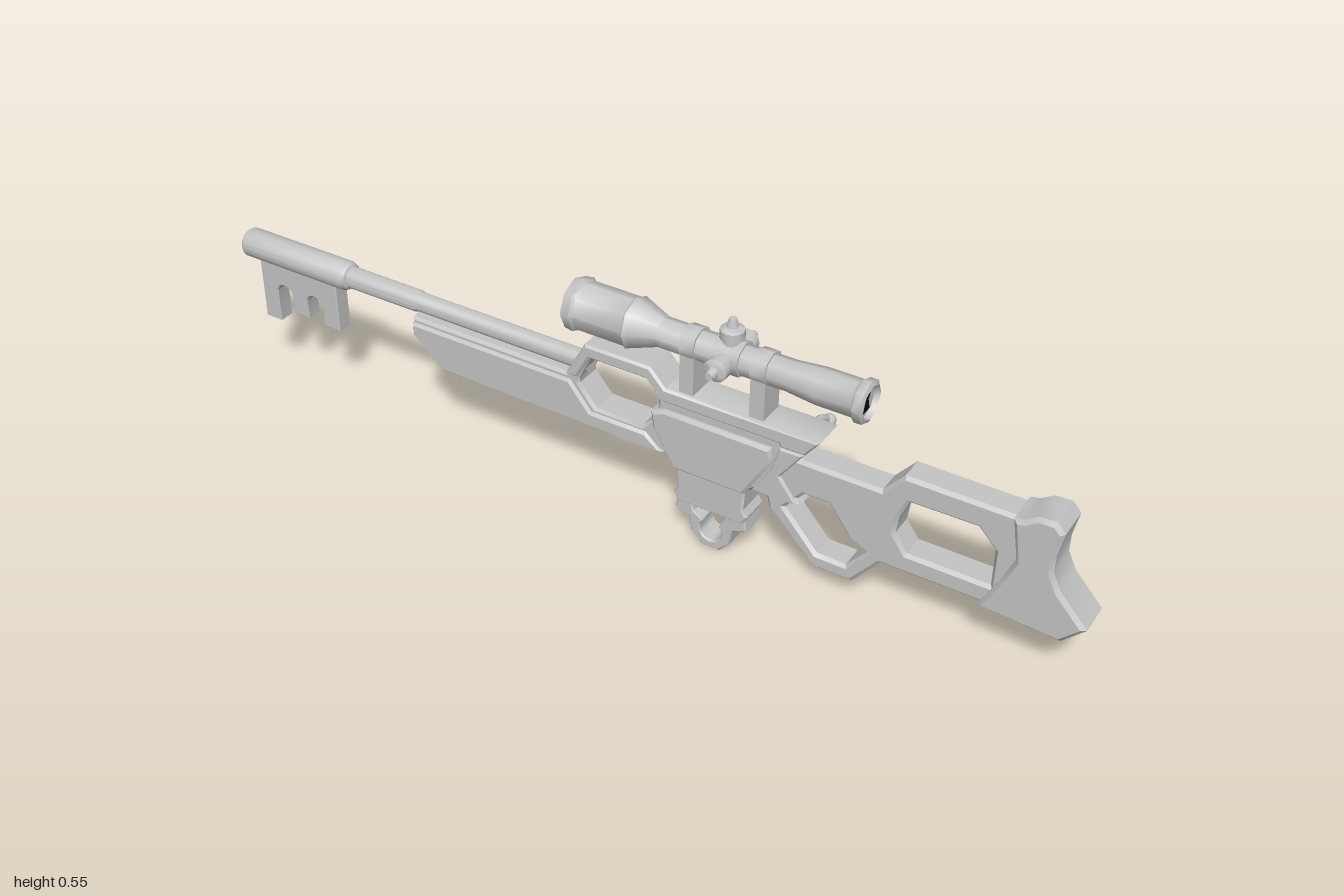
import * as THREE from 'three';
import { toCreasedNormals } from 'three/addons/utils/BufferGeometryUtils.js';

const steel = new THREE.MeshStandardMaterial({ name: 'grey steel', color: 0xc4c4c4 });
const black = new THREE.MeshStandardMaterial({ name: 'black', color: 0x0c0c0c });
const BARREL_Y = 0.33, SCOPE_Y = 0.463, TURRET_X = 0.23;

const vectors = (pts) => pts.map(([x, y]) => new THREE.Vector2(x, y));

// outline points put in counter-clockwise order, so that hole walls face inwards
const loop = (pts) => {
  const v = vectors(pts);
  return THREE.ShapeUtils.isClockWise(v) ? v.reverse() : v;
};

export function createModel() {
  const group = new THREE.Group();
  // the rifle's middle plane sits slightly forward of z = 0
  const rifle = new THREE.Group();
  rifle.name = 'rifle';
  rifle.position.z = 0.0095;
  group.add(rifle);

  const add = (name, geometry, material = steel) => {
    const mesh = new THREE.Mesh(geometry, material);
    mesh.name = name;
    rifle.add(mesh);
  };

  // side outline (point list or Shape) extruded symmetrically about the middle plane
  const slab = (name, outline, half, bevel = 0.006, holes = []) => {
    const shape = Array.isArray(outline) ? new THREE.Shape(loop(outline)) : outline;
    holes.forEach((h) => shape.holes.push(Array.isArray(h) ? new THREE.Path(loop(h)) : h));
    const g = new THREE.ExtrudeGeometry(shape, {
      depth: 2 * (half - bevel), bevelThickness: bevel,
      bevelSize: bevel, bevelOffset: -bevel, bevelSegments: 1, curveSegments: 8,
    });
    add(name, toCreasedNormals(g.translate(0, 0, bevel - half), 0.6));
  };

  // turned part: points are [radius, distance along axis]
  const turned = (pts, sides, crease = 0.6) =>
    toCreasedNormals(new THREE.LatheGeometry(vectors(pts), sides), crease);

  // barrel with thicker hollow muzzle
  add('barrel', turned([
    [0, -0.96], [0.019, -0.96], [0.019, -1], [0.029, -1], [0.033, -0.994], [0.033, -0.722], [0.029, -0.712],
    [0.024, -0.709], [0.024, -0.53], [0.021, -0.52], [0.021, -0.09], [0, -0.09],
  ], 16).rotateZ(-Math.PI / 2).translate(0, BARREL_Y, 0));
  add('boreShadow', new THREE.CircleGeometry(0.018, 16).rotateY(-Math.PI / 2)
    .translate(-0.962, BARREL_Y, 0), black);

  // key bit below the muzzle: three teeth with arched gaps
  const bit = new THREE.Shape();
  bit.moveTo(-0.96, 0.315);
  bit.lineTo(-0.96, 0.158);
  bit.lineTo(-0.917, 0.158);
  [[-0.895, 0.192, -0.832], [-0.81, 0.186, -0.745]].forEach(([cx, low, toothEnd]) => {
    bit.lineTo(cx - 0.022, 0.233);
    bit.absarc(cx, 0.233, 0.022, Math.PI, 0, true);
    bit.lineTo(cx + 0.022, low);
    bit.lineTo(toothEnd, low);
  });
  bit.lineTo(-0.745, 0.315);
  slab('keyBit', bit, 0.02, 0.003);

  // fore-end and receiver with a six-sided window
  const windowHole = [[-0.1, 0.31], [-0.072, 0.366], [0.06, 0.366], [0.088, 0.325],
    [0.083, 0.285], [0.05, 0.248], [-0.06, 0.248], [-0.1, 0.295]];
  slab('receiver', [
    [-0.52, 0.312], [-0.13, 0.312], [-0.083, 0.393], [0.07, 0.393], [0.105, 0.357], [0.44, 0.357],
    [0.415, 0.32], [0.385, 0.31], [0.36, 0.25], [0.41, 0.195], [0.31, 0.195], [0.29, 0.18],
    [0.13, 0.18], [0.1, 0.205], [-0.45, 0.205], [-0.52, 0.27],
  ], 0.035, 0.006, [windowHole]);
  slab('foreEnd', [[-0.52, 0.3], [-0.12, 0.3], [-0.07, 0.238], [0.06, 0.238], [0.1, 0.203],
    [-0.45, 0.203], [-0.52, 0.268]], 0.041);
  slab('upperFrame', [
    [-0.13, 0.312], [-0.083, 0.398], [0.07, 0.398], [0.105, 0.36], [0.445, 0.36], [0.415, 0.32],
    [0.36, 0.32], [0.36, 0.328], [0.1, 0.328], [0.06, 0.368], [-0.072, 0.368], [-0.103, 0.312],
  ], 0.04, 0.005);
  slab('sidePlate', [[0.075, 0.3], [0.105, 0.312], [0.345, 0.312], [0.352, 0.285],
    [0.29, 0.178], [0.13, 0.178], [0.08, 0.262]], 0.046, 0.007);
  slab('rearPlate', [[0.36, 0.318], [0.412, 0.318], [0.365, 0.25], [0.405, 0.195],
    [0.305, 0.195], [0.345, 0.265]], 0.039, 0.004);

  // stock and trigger loop
  slab('stock', [
    [0.33, 0.3], [0.575, 0.3], [0.617, 0.35], [0.87, 0.35], [0.87, 0.127], [0.585, 0.127],
    [0.527, 0.055], [0.445, 0.055], [0.34, 0.16], [0.33, 0.2],
  ], 0.032, 0.007, [
    [[0.631, 0.293], [0.769, 0.295], [0.806, 0.256], [0.806, 0.172], [0.636, 0.172], [0.608, 0.21], [0.613, 0.25]],
    [[0.375, 0.175], [0.45, 0.09], [0.513, 0.09], [0.555, 0.14], [0.515, 0.16], [0.47, 0.222], [0.415, 0.222]],
  ]);
  slab('buttPad', [
    [0.835, 0.35], [0.855, 0.355], [0.88, 0.372], [0.915, 0.374], [0.932, 0.354], [0.922, 0.3], [0.922, 0.262],
    [0.94, 0.225], [1, 0.16], [0.955, 0.114], [0.79, 0.126], [0.825, 0.2], [0.85, 0.26],
  ], 0.0445, 0.008);

  // magazine and the angular bow below it
  slab('magazine', [[0.13, 0.2], [0.29, 0.2], [0.285, 0.13], [0.295, 0.115], [0.285, 0.095],
    [0.135, 0.095], [0.125, 0.115], [0.135, 0.13]], 0.035, 0.004);
  const bowHole = new THREE.Path();
  bowHole.moveTo(0.166, 0.093);
  bowHole.lineTo(0.254, 0.093);
  bowHole.lineTo(0.25, 0.078);
  bowHole.lineTo(0.23, 0.064);
  bowHole.absarc(0.21, 0.044, 0.025, 0.7, Math.PI - 0.7, true);
  bowHole.lineTo(0.19, 0.064);
  bowHole.lineTo(0.17, 0.078);
  slab('magazineBow', [
    [0.135, 0.12], [0.128, 0.074], [0.16, 0.062], [0.165, 0.026], [0.19, 0], [0.23, 0],
    [0.255, 0.026], [0.26, 0.062], [0.292, 0.074], [0.285, 0.12],
  ], 0.029, 0.003, [bowHole]);

  // bolt handle on the far side
  const boltPath = new THREE.CatmullRomCurve3([
    new THREE.Vector3(0.395, 0.342, -0.025), new THREE.Vector3(0.395, 0.341, -0.055),
    new THREE.Vector3(0.397, 0.334, -0.075), new THREE.Vector3(0.4, 0.32, -0.09),
  ]);
  add('boltHandle', new THREE.TubeGeometry(boltPath, 8, 0.008, 8));
  add('boltKnob', new THREE.SphereGeometry(0.014, 12, 8).translate(0.4, 0.319, -0.093));

  // telescopic sight, eight-sided with smooth shading around
  add('scope', turned([
    [0, -0.114], [0.04, -0.114], [0.046, -0.13], [0.055, -0.128], [0.058, -0.108], [0.052, -0.102],
    [0.052, 0.009], [0.056, 0.014], [0.052, 0.024], [0.032, 0.079], [0.032, 0.359], [0.038, 0.424],
    [0.038, 0.499], [0.045, 0.506], [0.045, 0.522], [0.037, 0.526], [0.034, 0.514], [0, 0.514],
  ], 8, 0.82).rotateZ(-Math.PI / 2).translate(0, SCOPE_Y, 0));

  // keyhole marks on both lenses
  const keyhole = new THREE.Shape();
  keyhole.moveTo(-0.014, -0.023);
  keyhole.lineTo(0.014, -0.023);
  keyhole.lineTo(0.006, 0.002);
  keyhole.absarc(0, 0.011, 0.0115, -0.9, Math.PI + 0.9, false);
  keyhole.closePath();
  [[-0.116, -1, 1.3], [0.516, 1, 1]].forEach(([x, side, size]) => {
    add('lensKeyhole', new THREE.ShapeGeometry(keyhole).scale(size, size, 1)
      .rotateY(side * Math.PI / 2).translate(x, SCOPE_Y, 0), black);
  });

  // scope mounts: post and clamp
  [0.148, 0.304].forEach((x) => {
    add('scopeMount', new THREE.BoxGeometry(0.032, 0.11, 0.06).translate(x, 0.405, 0));
    add('scopeClamp', turned([[0, -0.016], [0.037, -0.016], [0.037, 0.016], [0, 0.016]], 8, 0.82)
      .rotateZ(-Math.PI / 2).translate(x, SCOPE_Y, 0));
  });

  // adjustment turrets: top and both sides
  add('turretHub', turned([[0, -0.03], [0.037, -0.03], [0.037, 0.03], [0, 0.03]], 8, 0.82)
    .rotateZ(-Math.PI / 2).translate(TURRET_X, SCOPE_Y, 0));
  [['topTurret', 0, -0.004], ['frontTurret', Math.PI / 2, 0], ['backTurret', -Math.PI / 2, 0]]
    .forEach(([name, angle, shift]) => {
      add(name, turned([
        [0, 0], [0.019, 0], [0.019, 0.042], [0.025, 0.045], [0.025, 0.064], [0.019, 0.068],
        [0.012, 0.07], [0.008, 0.088], [0, 0.088],
      ], 12).translate(0, shift, 0).rotateX(angle).translate(TURRET_X, SCOPE_Y, 0));
    });

  return group;
}
